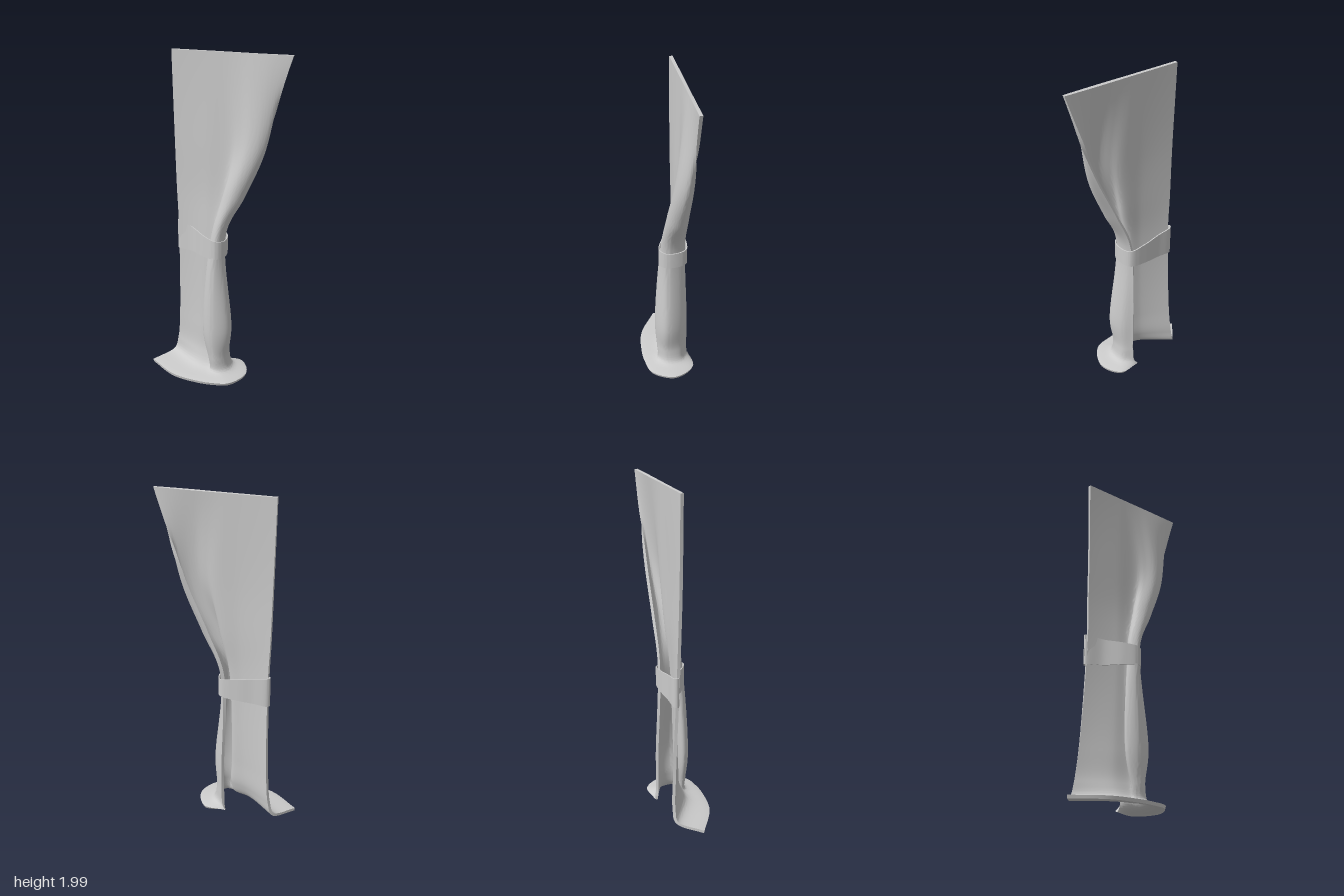
import * as THREE from 'three';
import { toCreasedNormals } from 'three/addons/utils/BufferGeometryUtils.js';

// Cloth cross-sections below the straight top hem: height, then [x, z] from the outer edge,
// across the flat panel, into the crease, and round the gathered fold to its back edge.
const SECTIONS = [
  [1.5, [[-.26, -.08], [-.07, -.065], [.08, -.06], [.13, -.04], [.19, -.02], [.245, -.03], [.275, -.06], [.25, -.09]]],
  [1.2, [[-.255, -.085], [-.07, -.06], [.05, -.045], [.055, -.01], [.1, .01], [.145, -.01], [.16, -.05], [.12, -.095]]],
  [0.95, [[-.248, -.09], [-.08, -.05], [0, -.03], [-.01, .008], [.02, .03], [.048, 0], [.043, -.065], [.025, -.1]]],
  [0.33, [[-.262, -.12], [-.1, -.04], [-.01, -.01], [-.055, .03], [0, .065], [.09, .02], [.075, -.07], [.02, -.12]]],
  [0.14, [[-.28, -.13], [-.11, -.03], [0, .005], [-.02, .035], [.015, .055], [.068, .015], [.068, -.07], [.02, -.12]]],
  [0.05, [[-.305, -.12], [-.12, .01], [-.02, .035], [0, .05], [.045, .055], [.09, .01], [.085, -.08], [.015, -.125]]],
  [0.018, [[-.41, .01], [-.23, .125], [-.07, .152], [.03, .148], [.13, .118], [.2, -.02], [.13, -.147], [0, -.135]]],
];

// Straight top hem, its points bunched towards the gathered side.
function topHem() {
  return Array.from({ length: 8 }, (_, k) =>
    new THREE.Vector3(k === 0 ? -.27 : -.05 + .46 * (k - 1) / 6, 2, -.08));
}

// Smooth grid of points: across each section, then down through the sections.
function loftGrid(lines, cols, rows) {
  const across = lines.map(line => new THREE.CatmullRomCurve3(line).getPoints(cols));
  const grid = Array.from({ length: rows + 1 }, () => []);
  for (let j = 0; j <= cols; j++) {
    const down = new THREE.CatmullRomCurve3(across.map(row => row[j]));
    down.getPoints(rows).forEach((p, i) => { grid[i][j] = p; });
  }
  return grid;
}

// Gives a grid of points real thickness: front skin, back skin and a rim on all four edges.
function thickSheet(grid, half) {
  const rows = grid.length - 1, cols = grid[0].length - 1, w = cols + 1;
  const points = grid.flat(), n = points.length;
  const faces = [];
  for (let i = 0; i < rows; i++) for (let j = 0; j < cols; j++) {
    const a = i * w + j, b = a + 1, c = a + w, d = c + 1;
    faces.push(a, c, b, b, c, d);
  }
  const mid = new THREE.BufferGeometry().setFromPoints(points);
  mid.setIndex(faces);
  mid.computeVertexNormals();
  const normals = mid.getAttribute('normal');
  const shifted = s => points.map((p, k) =>
    new THREE.Vector3().fromBufferAttribute(normals, k).multiplyScalar(s).add(p));

  const index = [...faces];
  for (let k = 0; k < faces.length; k += 3) index.push(faces[k] + n, faces[k + 2] + n, faces[k + 1] + n);
  const rim = (a, b) => index.push(a, a + n, b, b, a + n, b + n);
  for (let j = 0; j < cols; j++) {
    rim(j + 1, j);
    rim(rows * w + j, rows * w + j + 1);
  }
  for (let i = 0; i < rows; i++) {
    rim(i * w, (i + 1) * w);
    rim((i + 1) * w + cols, i * w + cols);
  }
  const solid = new THREE.BufferGeometry().setFromPoints([...shifted(half), ...shifted(-half)]);
  solid.setIndex(index);
  return toCreasedNormals(solid, 1.0);
}

// Band looped round the cloth, taller at its outer end.
function tieBandGeometry() {
  const loop = [[-.258, -.095], [-.16, -.058], [-.06, .015], [.015, .045], [.055, .012],
    [.058, -.065], [.035, -.112], [-.06, -.122], [-.16, -.115], [-.25, -.112]];
  const curve = new THREE.CatmullRomCurve3(loop.map(([x, z]) => new THREE.Vector3(x, 0, z)), true);
  const ring = curve.getPoints(80);
  const edge = (left, right) => ring.map(p =>
    new THREE.Vector3(p.x, THREE.MathUtils.mapLinear(p.x, -.25, .055, left, right), p.z));
  return thickSheet([edge(.98, .925), edge(.8, .82)], .003);
}

export function createModel() {
  const model = new THREE.Group();
  model.name = 'tiedCurtain';
  const cloth = new THREE.MeshStandardMaterial({ color: 0xcccccc, side: THREE.DoubleSide });

  const lines = [topHem(), ...SECTIONS.map(([y, pts]) => pts.map(([x, z]) => new THREE.Vector3(x, y, z)))];
  const drape = new THREE.Mesh(thickSheet(loftGrid(lines, 63, 98), .009), cloth);
  drape.name = 'curtainDrape';

  const band = new THREE.Mesh(tieBandGeometry(), cloth);
  band.name = 'tieBand';

  model.add(drape, band);
  return model;
}
